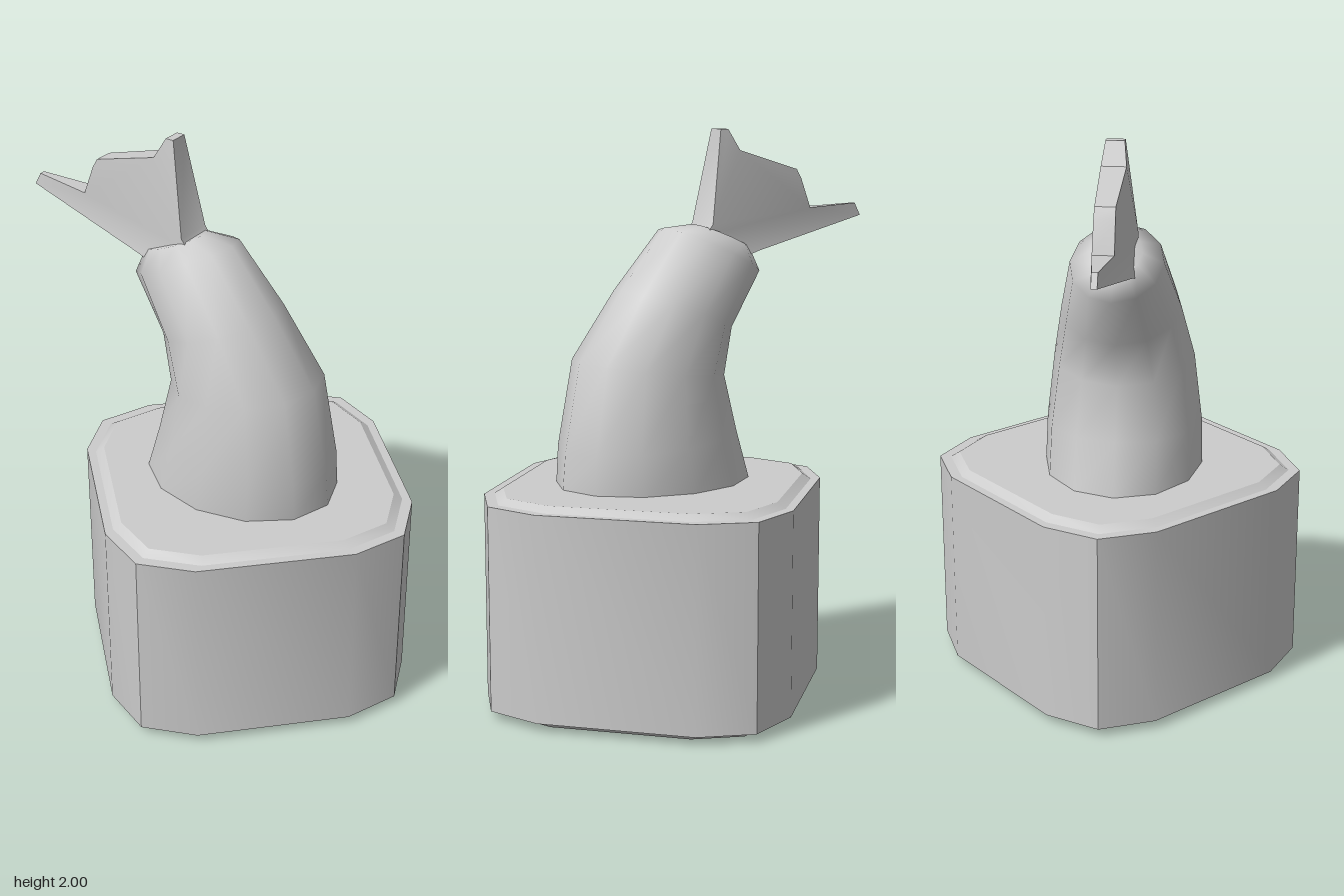
import * as THREE from 'three';
import { toCreasedNormals } from 'three/addons/utils/BufferGeometryUtils.js';

const grey = () => new THREE.MeshStandardMaterial({ color: 0xcccccc });

function addMesh(parent, name, geometry) {
  const mesh = new THREE.Mesh(geometry, grey());
  mesh.name = name;
  parent.add(mesh);
  return mesh;
}

// Square outline with chamfered corners, scaled about its own centre
function blockShape(scale) {
  const corner = [[0.545, 0.275], [0.465, 0.465], [0.275, 0.545]];
  const points = [];
  for (let i = 0; i < 4; i++) {
    for (const [x, y] of corner) {
      points.push(new THREE.Vector2(x, y).multiplyScalar(scale)
        .rotateAround(new THREE.Vector2(), i * Math.PI / 2));
    }
  }
  return new THREE.Shape(points);
}

// Loft through tilted elliptical rings: [frontU, frontY, backU, backY, halfWidth]
function loftRings(rings, sides) {
  const positions = [], indices = [];
  for (const [fu, fy, bu, by, w] of rings) {
    for (let i = 0; i < sides; i++) {
      const a = i / sides * Math.PI * 2, t = (1 - Math.cos(a)) / 2;
      positions.push(fu + (bu - fu) * t, fy + (by - fy) * t, w * Math.sin(a));
    }
  }
  for (let r = 0; r < rings.length - 1; r++) {
    for (let i = 0; i < sides; i++) {
      const j = (i + 1) % sides;
      const a = r * sides + i, b = r * sides + j;
      indices.push(a, a + sides, b, b, a + sides, b + sides);
    }
  }
  // End cap
  const last = (rings.length - 1) * sides;
  for (let i = 1; i < sides - 1; i++) indices.push(last, last + i + 1, last + i);
  const geometry = new THREE.BufferGeometry();
  geometry.setAttribute('position', new THREE.Float32BufferAttribute(positions, 3));
  geometry.setIndex(indices);
  geometry.computeVertexNormals();
  return geometry;
}

// Notched fan blade that thins away from its root
function tailGeometry() {
  const outline = [
    [-0.12, 1.63], [-0.15, 1.67], [-0.205, 2.0], [-0.235, 2.0], [-0.28, 1.925],
    [-0.53, 1.855], [-0.55, 1.82], [-0.59, 1.715], [-0.81, 1.725], [-0.835, 1.68],
    [-0.34, 1.57], [-0.28, 1.55],
  ].map(([u, y]) => new THREE.Vector2(u, y));
  const geometry = new THREE.ExtrudeGeometry(new THREE.Shape(outline),
    { depth: 1, bevelEnabled: false });
  const p = geometry.attributes.position;
  for (let i = 0; i < p.count; i++) {
    const distance = Math.hypot(p.getX(i) + 0.25, p.getY(i) - 1.62);
    const half = Math.max(0.01, 0.085 - 0.14 * distance);
    p.setZ(i, p.getZ(i) > 0.5 ? half : -half);
  }
  return toCreasedNormals(geometry, 0.6);
}

export function createModel() {
  const model = new THREE.Group();
  model.name = 'prawnRoll';

  // Block: outer wrap with a bevelled filling showing at both ends
  const block = new THREE.Group();
  block.name = 'block';
  block.position.set(0.055, 0, 0.025);
  model.add(block);
  const wrap = new THREE.ExtrudeGeometry(blockShape(1), { depth: 0.72, bevelEnabled: false });
  wrap.rotateX(Math.PI / 2).translate(0, 0.75, 0);
  addMesh(block, 'wrap', toCreasedNormals(wrap, 0.6));
  const filling = new THREE.ExtrudeGeometry(blockShape(0.89), {
    depth: 0.73, bevelSize: 0.03, bevelThickness: 0.02, bevelSegments: 1,
  });
  filling.rotateX(Math.PI / 2).translate(0, 0.75, 0);
  addMesh(block, 'filling', toCreasedNormals(filling, 0.5));

  // Prawn: curved body and tail, built in a plane and turned along the diagonal
  const prawn = new THREE.Group();
  prawn.name = 'prawn';
  prawn.rotation.y = -Math.PI / 4;
  model.add(prawn);
  addMesh(prawn, 'body', loftRings([
    [0.417, 0.76, -0.31, 0.76, 0.285],
    [0.405, 0.90, -0.25, 0.95, 0.28],
    [0.347, 1.21, -0.20, 1.14, 0.25],
    [0.18, 1.45, -0.235, 1.30, 0.21],
    [0.01, 1.66, -0.365, 1.49, 0.16],
    [-0.11, 1.67, -0.335, 1.575, 0.09],
  ], 12));
  addMesh(prawn, 'tail', tailGeometry());

  return model;
}
